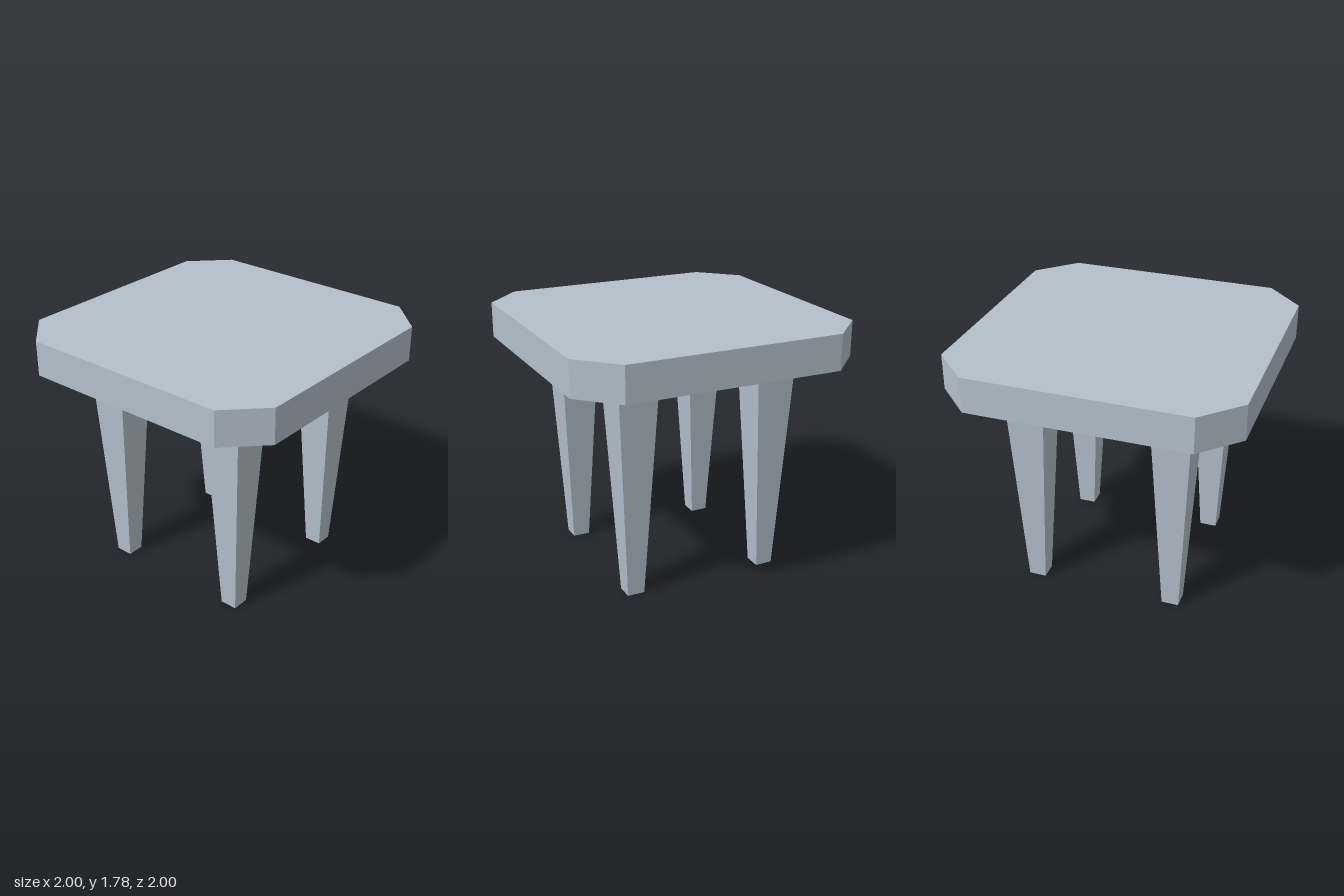
import * as THREE from 'three';

const TOP_Y = 1.78, UNDER_Y = 1.535;
const LEG_OFFSET = 0.5, LEG_TOP = 0.284, LEG_FOOT = 0.12;

// Square slab with its four corners cut off
function slabGeometry(half, cut, bottom, top) {
  const shape = new THREE.Shape([
    [cut, -half], [half, -cut], [half, cut], [cut, half],
    [-cut, half], [-half, cut], [-half, -cut], [-cut, -half],
  ].map(([x, y]) => new THREE.Vector2(x, y)));
  const geometry = new THREE.ExtrudeGeometry(shape, { depth: top - bottom, bevelEnabled: false });
  return geometry.rotateX(-Math.PI / 2).translate(0, bottom, 0);
}

// Square post narrowing towards the floor
function legGeometry() {
  const geometry = new THREE.BoxGeometry(LEG_TOP, UNDER_Y, LEG_TOP).translate(0, UNDER_Y / 2, 0);
  const p = geometry.attributes.position;
  for (let i = 0; i < p.count; i++) {
    if (p.getY(i) > 0.01) continue;
    p.setX(i, p.getX(i) * LEG_FOOT / LEG_TOP);
    p.setZ(i, p.getZ(i) * LEG_FOOT / LEG_TOP);
  }
  geometry.computeVertexNormals();
  return geometry;
}

export function createModel() {
  const model = new THREE.Group();
  model.name = 'stool';
  const paint = new THREE.MeshStandardMaterial({ color: 0xb4c0cc });
  paint.name = 'pale blue grey';

  const seat = new THREE.Mesh(slabGeometry(1, 0.75, UNDER_Y, TOP_Y), paint);
  seat.name = 'seat';
  model.add(seat);

  // Four matching legs
  const legShape = legGeometry();
  for (const [zName, z] of [['front', 1], ['back', -1]]) {
    for (const [xName, x] of [['Left', 1], ['Right', -1]]) {
      const leg = new THREE.Mesh(legShape, paint);
      leg.name = `${zName}${xName}Leg`;
      leg.position.set(x * LEG_OFFSET, 0, z * LEG_OFFSET);
      model.add(leg);
    }
  }
  return model;
}
